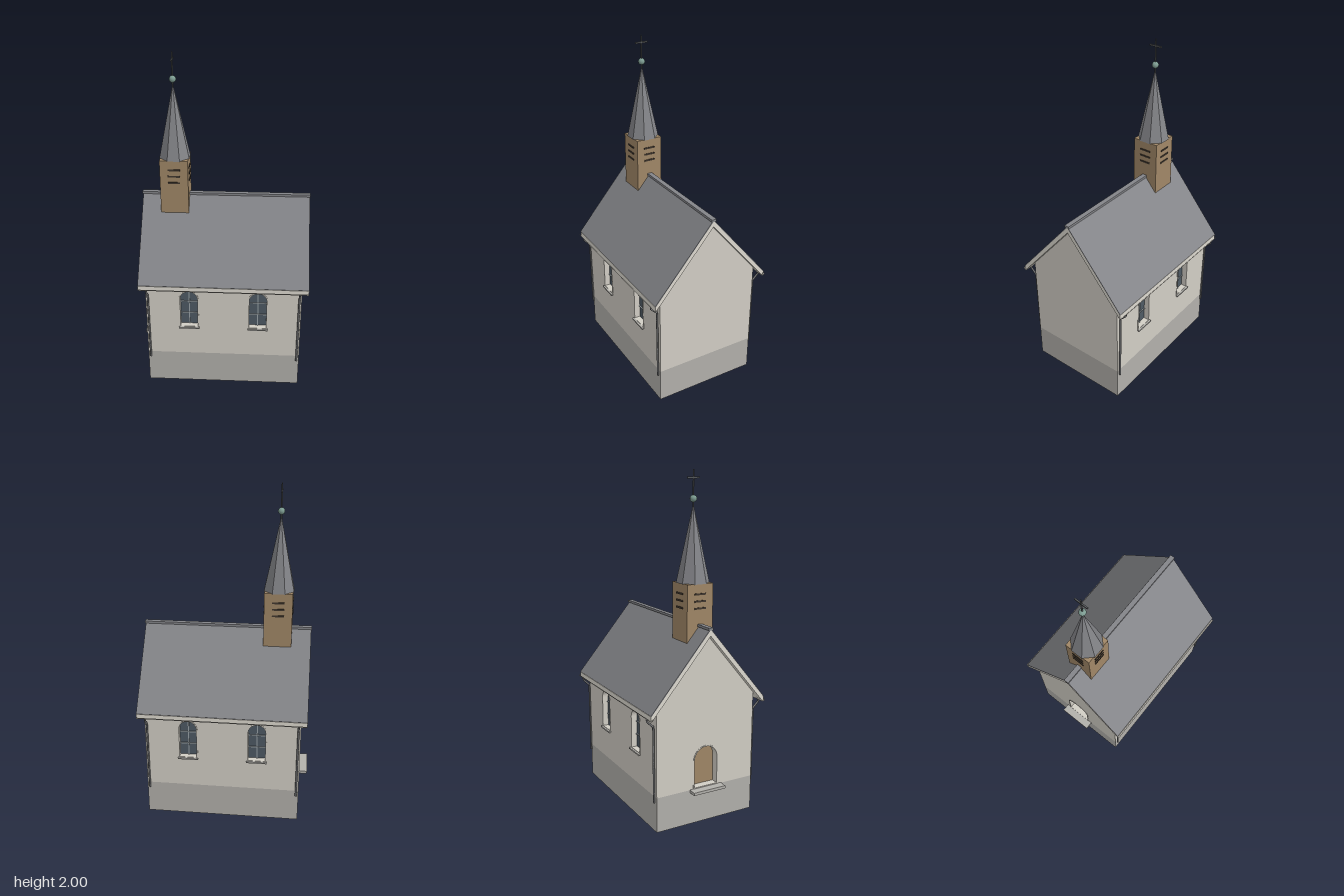
import * as THREE from 'three';

const mat = (color, opts = {}) =>
  new THREE.MeshStandardMaterial({ color, side: THREE.DoubleSide, ...opts });
const M = {
  wall: mat(0xd2cec5), base: mat(0xb2b0ab), roof: mat(0x848589, { flatShading: true }),
  trim: mat(0xdedad0), wood: mat(0xa08767), glass: mat(0x4e5a64), bar: mat(0x9aa3a8),
  pipe: mat(0x77787a), dark: mat(0x40372e), iron: mat(0x55585a), ball: mat(0x7d9c92),
};

function add(parent, name, geometry, material, x = 0, y = 0, z = 0) {
  const mesh = new THREE.Mesh(geometry, material);
  mesh.name = name;
  mesh.position.set(x, y, z);
  parent.add(mesh);
  return mesh;
}
function group(parent, name) {
  const g = new THREE.Group();
  g.name = name;
  parent.add(g);
  return g;
}
const box = (w, h, d) => new THREE.BoxGeometry(w, h, d);
const polygon = (pts) => new THREE.Shape(pts.map(([x, y]) => new THREE.Vector2(x, y)));

// Round-headed outline, centred on u, standing on y
function arch(u, y, w, h, Type = THREE.Shape) {
  const r = w / 2, s = new Type();
  s.moveTo(u - r, y);
  s.lineTo(u + r, y);
  s.lineTo(u + r, y + h - r);
  s.absarc(u, y + h - r, r, 0, Math.PI, false);
  s.lineTo(u - r, y);
  return s;
}

// Reveal ring of an opening, with a panel set back inside it
function opening(parent, name, o, panelMaterial) {
  const g = group(parent, name);
  const { u, y, w, h, depth } = o, t = 0.007;
  const ring = arch(u, y, w, h);
  ring.holes.push(arch(u, y + t, w - 2 * t, h - 2 * t, THREE.Path));
  const geo = new THREE.ExtrudeGeometry(ring, { depth, bevelEnabled: false, curveSegments: 10 });
  add(g, 'reveal', geo, M.wall, 0, 0, 0.002 - depth);
  add(g, 'panel', new THREE.ShapeGeometry(arch(u, y, w - t, h - t / 2), 10), panelMaterial, 0, 0, 0.006 - depth);
  return g;
}

function archedWindow(parent, o) {
  const g = opening(parent, 'window', o, M.glass);
  const z = 0.009 - o.depth;
  add(g, 'mullion', box(0.006, o.h - 0.01, 0.006), M.bar, o.u, o.y + o.h / 2, z);
  for (const dy of [0.085, 0.165])
    add(g, 'glazingBar', box(o.w - 0.01, 0.006, 0.006), M.bar, o.u, o.y + dy, z);
  add(g, 'sill', box(o.w + 0.004, 0.009, o.depth + 0.012), M.base, o.u, o.y, 0.008 - o.depth / 2);
}

const X0 = -0.46, X1 = 0.47, MID = (X0 + X1) / 2, HALF = (X1 - X0) / 2;
const Z = 0.32, PLINTH = 0.21, EAVE = 0.74, RIDGE = 1.115;

// One thin wall facing local +z, with plinth below and openings cut out
function wall(parent, name, half, hasGable, openings) {
  const g = group(parent, name);
  const pts = [[-half, PLINTH], [half, PLINTH], [half, EAVE]];
  if (hasGable) pts.push([0, RIDGE]);
  pts.push([-half, EAVE]);
  const shape = polygon(pts);
  for (const o of openings) shape.holes.push(arch(o.u, o.y, o.w, o.h, THREE.Path));
  add(g, 'plaster', new THREE.ShapeGeometry(shape, 10), M.wall);
  add(g, 'plinth', new THREE.PlaneGeometry(half * 2, PLINTH), M.base, 0, PLINTH / 2, 0);
  return g;
}

function buildWalls(model) {
  // Long walls with two windows each
  for (const s of [1, -1]) {
    const wins = [-0.207, 0.207].map((u) => ({ u, y: 0.4, w: 0.118, h: 0.257, depth: 0.04 }));
    const g = wall(model, s > 0 ? 'frontWall' : 'backWall', HALF, false, wins);
    wins.forEach((o) => archedWindow(g, o));
    g.position.set(MID, 0, s * Z);
    if (s < 0) g.rotation.y = Math.PI;
  }
  // Closed gable
  const closed = wall(model, 'leftGable', Z, true, []);
  closed.position.x = X1;
  closed.rotation.y = Math.PI / 2;
  // Entrance gable with door and step
  const door = { u: 0, y: PLINTH + 0.001, w: 0.165, h: 0.255, depth: 0.05 };
  const entrance = wall(model, 'entranceGable', Z, true, [door]);
  opening(entrance, 'door', door, M.wood);
  add(entrance, 'doorStep', box(0.21, 0.017, 0.09), M.base, 0, 0.204, 0.005);
  entrance.position.x = X0;
  entrance.rotation.y = -Math.PI / 2;
}

function buildRoof(model) {
  const roof = group(model, 'roof');
  const x0 = -0.495, x1 = 0.506, len = x1 - x0, mid = (x0 + x1) / 2;
  // Pale roof deck showing at verges and eaves
  const deck = polygon([[0, 1.147], [0.368, 0.71], [0.362, 0.685], [0, 1.112],
    [-0.362, 0.685], [-0.368, 0.71]]);
  const geo = new THREE.ExtrudeGeometry(deck, { depth: len, bevelEnabled: false });
  add(roof, 'roofDeck', geo, M.trim, x0).rotation.y = Math.PI / 2;
  roof.children[0].position.x = x0;
  // Covering, gutter and downpipes on both slopes
  const run = Math.hypot(0.37, 0.439), angle = Math.atan2(0.439, 0.37);
  for (const s of [1, -1]) {
    const cover = add(roof, 'roofCovering', box(len, 0.005, run), M.roof, mid, 0.931, s * 0.185);
    cover.rotation.x = s * angle;
    const gutter = add(roof, 'gutter',
      new THREE.CylinderGeometry(0.013, 0.013, len, 10, 1, true, 0, Math.PI), M.trim, mid, 0.693, s * 0.368);
    gutter.rotation.z = -Math.PI / 2;
    add(roof, 'eavesBoard', box(len, 0.03, 0.006), M.trim, mid, 0.695, s * 0.368);
    for (const x of [-0.445, 0.455]) {
      const path = new THREE.CurvePath();
      const p = [[0.68, 0.372], [0.667, 0.37], [0.63, 0.332], [0.18, 0.329]]
        .map(([y, z]) => new THREE.Vector3(x, y, s * z));
      for (let i = 0; i < 3; i++) path.add(new THREE.LineCurve3(p[i], p[i + 1]));
      add(roof, 'downpipe', new THREE.TubeGeometry(path, 40, 0.006, 8), M.pipe);
    }
  }
  add(roof, 'ridgeCap', box(len + 0.008, 0.014, 0.03), M.roof, mid, 1.152, 0);
}

function buildTower(model) {
  const tower = group(model, 'bellTower');
  tower.position.x = -0.297;
  add(tower, 'towerShaft', box(0.166, 0.33, 0.166), M.wood, 0, 1.22, 0);
  // Three louvre slits on every face
  for (let i = 0; i < 4; i++) {
    const face = group(tower, 'louvres');
    face.rotation.y = i * Math.PI / 2;
    for (const y of [1.248, 1.288, 1.328])
      add(face, 'louvre', box(0.072, 0.01, 0.008), M.dark, 0, y, 0.083);
  }
  // Eight-sided spire, flats facing the axes
  add(tower, 'spire', new THREE.CylinderGeometry(0.004, 0.095, 0.42, 8, 1, false, Math.PI / 8),
    M.roof, 0, 1.593, 0);
  // Finial
  add(tower, 'finialRod', new THREE.CylinderGeometry(0.004, 0.005, 0.22, 8), M.iron, 0, 1.89, 0);
  add(tower, 'finialBall', new THREE.SphereGeometry(0.02, 20, 14), M.ball, 0, 1.845, 0);
  add(tower, 'crossArm', box(0.008, 0.009, 0.08), M.iron, 0, 1.957, 0);
}

export function createModel() {
  const model = new THREE.Group();
  model.name = 'chapel';
  buildWalls(model);
  buildRoof(model);
  buildTower(model);
  return model;
}
